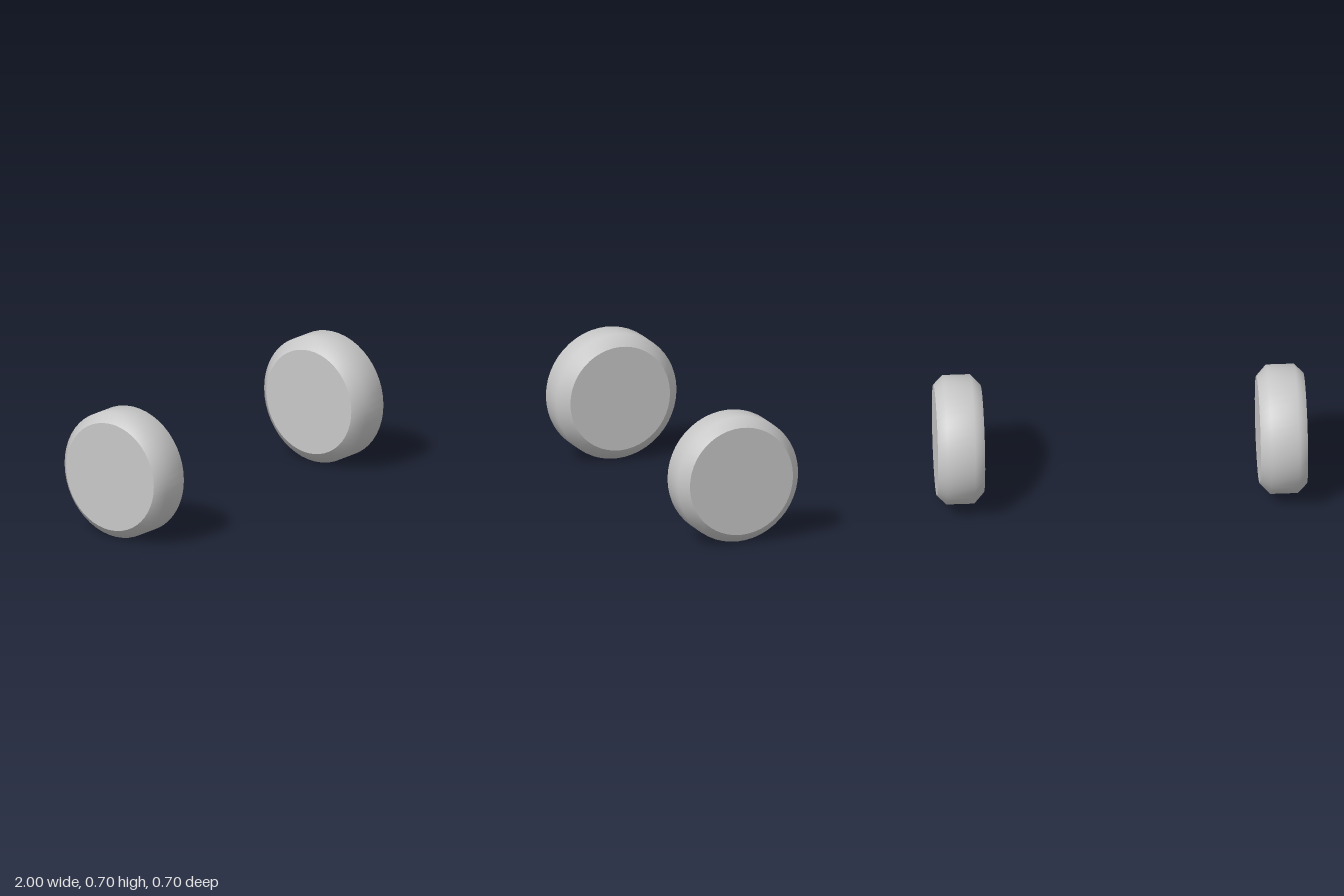
import * as THREE from 'three';

const SEGMENTS = 48;
const RADIUS = 0.35;

// [radius, distance from the centre line], from inner rim to outer rim
const PROFILE = [[0.29, 0.745], [RADIUS, 0.8], [RADIUS, 0.95], [0.3, 1]];

export function createModel() {
  const model = new THREE.Group();
  model.name = 'wheelPair';
  const grey = new THREE.MeshStandardMaterial({ color: 0xc8c8c8 });
  grey.name = 'light grey';

  // Smooth bevelled tread, turned so its axis runs along x
  const treadGeometry = new THREE.LatheGeometry(
    PROFILE.map(([r, d]) => new THREE.Vector2(r, d)), SEGMENTS);
  treadGeometry.rotateZ(-Math.PI / 2);

  // Flat disc closing one side of the wheel
  const cap = (name, [r, d], facing) => {
    const geometry = new THREE.CircleGeometry(r, SEGMENTS);
    geometry.rotateY(facing * Math.PI / 2);
    const mesh = new THREE.Mesh(geometry, grey);
    mesh.name = name;
    mesh.position.x = d;
    return mesh;
  };

  for (const side of ['left', 'right']) {
    const wheel = new THREE.Group();
    wheel.name = side + 'Wheel';
    const tread = new THREE.Mesh(treadGeometry, grey);
    tread.name = 'tread';
    wheel.add(tread, cap('outerFace', PROFILE[3], 1), cap('innerFace', PROFILE[0], -1));
    wheel.position.y = RADIUS;
    if (side === 'right') wheel.rotation.y = Math.PI;
    model.add(wheel);
  }
  return model;
}
